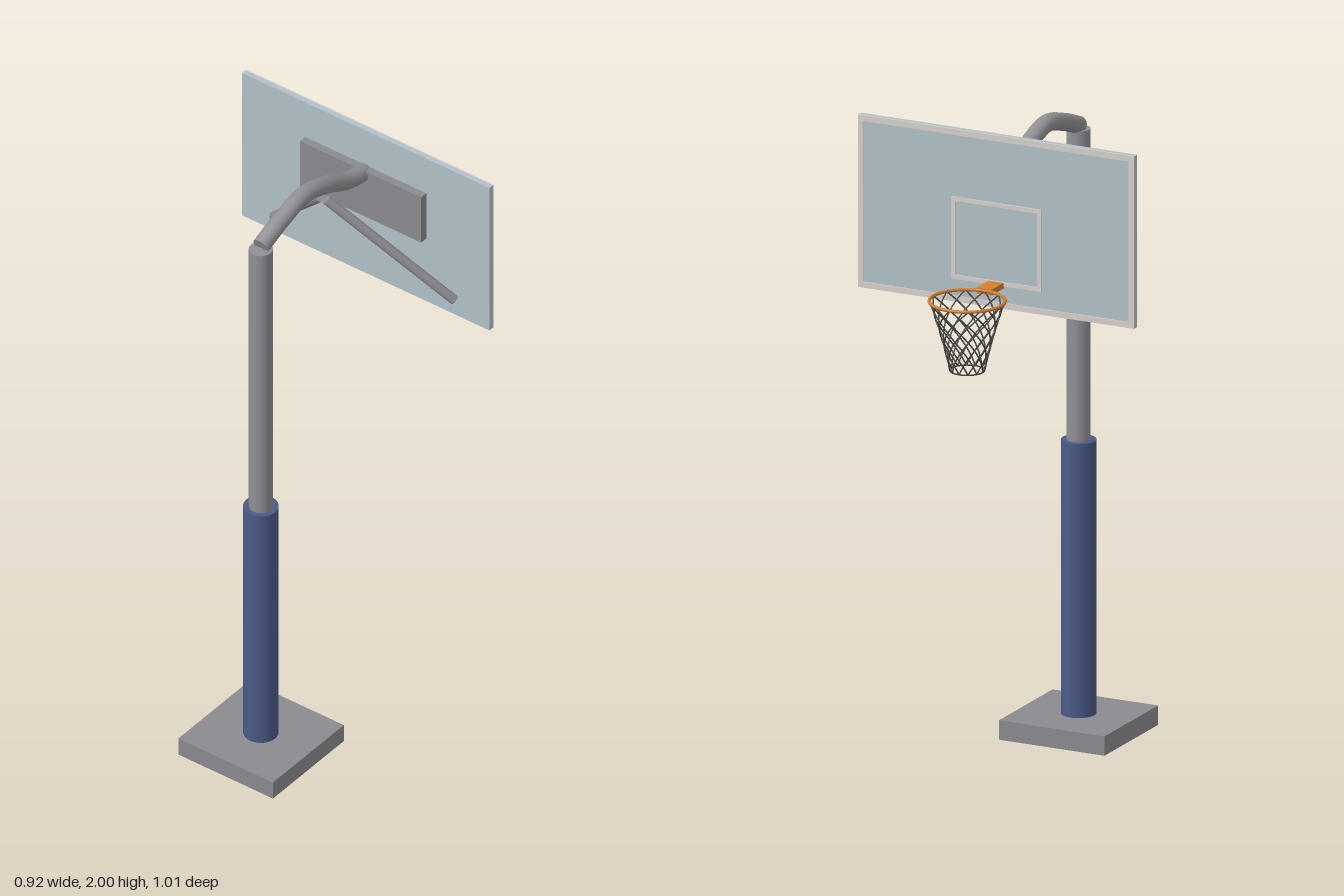
import * as THREE from 'three';

const mat = (name, color, side = THREE.FrontSide) => {
  const m = new THREE.MeshStandardMaterial({ color, side });
  m.name = name;
  return m;
};

export function createModel() {
  const steel = mat('grey steel', 0x909095);
  const concrete = mat('base grey', 0x8a8a8f);
  const blue = mat('blue padding', 0x4a5a88);
  const glass = mat('pale blue board', 0xb1c1c8);
  const trim = mat('off-white trim', 0xd5cfca);
  const orange = mat('orange rim', 0xd08030);
  const cord = mat('dark net cord', 0x4a4a48);

  const model = new THREE.Group();
  model.name = 'basketballHoop';
  const V = (x, y, z) => new THREE.Vector3(x, y, z);

  function add(name, geometry, material, parent = model) {
    const mesh = new THREE.Mesh(geometry, material);
    mesh.name = name;
    parent.add(mesh);
    return mesh;
  }
  // Box given by its minimum and maximum corners
  function box(name, a, b, material, parent) {
    const g = new THREE.BoxGeometry(b[0] - a[0], b[1] - a[1], b[2] - a[2]);
    g.translate((a[0] + b[0]) / 2, (a[1] + b[1]) / 2, (a[2] + b[2]) / 2);
    return add(name, g, material, parent);
  }
  // Round bar between two points
  function bar(name, a, b, radius, material, sides = 32) {
    const d = b.clone().sub(a);
    const mesh = add(name, new THREE.CylinderGeometry(radius, radius, d.length(), sides), material);
    mesh.position.copy(a).add(b).multiplyScalar(0.5);
    mesh.quaternion.setFromUnitVectors(V(0, 1, 0), d.normalize());
    return mesh;
  }
  // Rectangular frame on the playing face of the board
  function frame(name, halfWidth, y0, y1, t) {
    const g = new THREE.Group();
    g.name = name;
    model.add(g);
    const z0 = -0.204, z1 = -0.199;
    box('bottomStrip', [-halfWidth, y0, z0], [halfWidth, y0 + t, z1], trim, g);
    box('topStrip', [-halfWidth, y1 - t, z0], [halfWidth, y1, z1], trim, g);
    for (const s of [-1, 1]) {
      const x = s * (halfWidth - t / 2);
      box('sideStrip', [x - t / 2, y0 + t, z0], [x + t / 2, y1 - t, z1], trim, g);
    }
  }

  // Base, pole and padding
  box('base', [-0.176, 0, 0.157], [0.176, 0.06, 0.505], concrete);
  bar('pole', V(0, 0.05, 0.332), V(0, 1.875, 0.332), 0.036, steel);
  bar('polePad', V(0, 0.05, 0.332), V(0, 0.91, 0.332), 0.053, blue);

  // Curved arm with closed ends
  const armPath = new THREE.CatmullRomCurve3([
    V(0, 1.885, 0.332), V(0, 1.921, 0.235), V(0, 1.947, 0.125),
    V(0, 1.921, 0.02), V(0, 1.872, -0.085), V(0, 1.848, -0.178),
  ]);
  const armRadius = 0.027;
  add('arm', new THREE.TubeGeometry(armPath, 48, armRadius, 24), steel);
  for (const t of [0, 1]) {
    const cap = add('armCap', new THREE.CircleGeometry(armRadius, 24), steel);
    cap.position.copy(armPath.getPoint(t));
    cap.quaternion.setFromUnitVectors(V(0, 0, 1), armPath.getTangent(t).multiplyScalar(t ? 1 : -1));
  }

  // Diagonal struts
  for (const s of [-1, 1]) {
    bar('strut', V(s * 0.01, 1.875, 0.025), V(s * 0.335, 1.525, -0.176), 0.015, steel, 20);
  }

  // Backboard with its mounting plate and trim
  box('mountPlate', [-0.225, 1.7, -0.184], [0.225, 1.87, -0.158], concrete);
  box('backboard', [-0.46, 1.465, -0.2], [0.46, 2, -0.183], glass);
  frame('boardBorder', 0.46, 1.465, 2, 0.018);
  frame('targetSquare', 0.15, 1.535, 1.79, 0.013);

  // Rim and bracket
  const hoop = new THREE.Group();
  hoop.name = 'hoop';
  hoop.position.set(0, 1.538, -0.39);
  model.add(hoop);
  box('rimBracket', [-0.025, 1.528, -0.28], [0.025, 1.546, -0.2], orange);
  add('rim', new THREE.TorusGeometry(0.113, 0.005, 10, 64).rotateX(Math.PI / 2), orange, hoop);

  // Net of crossed spiral cords
  const cords = 12, twist = Math.PI * 2 / 3, depth = 0.215;
  const netRadius = t => 0.112 - 0.074 * t + 0.014 * t * t;
  for (const dir of [-1, 1]) {
    for (let i = 0; i < cords; i++) {
      const points = [];
      for (let k = 0; k <= 10; k++) {
        const t = k / 10;
        const a = (i / cords) * Math.PI * 2 + dir * twist * t;
        points.push(V(Math.cos(a) * netRadius(t), -depth * t, Math.sin(a) * netRadius(t)));
      }
      const path = new THREE.CatmullRomCurve3(points);
      add('netCord', new THREE.TubeGeometry(path, 24, 0.0023, 6), cord, hoop);
    }
  }
  const hem = new THREE.TorusGeometry(netRadius(1), 0.0023, 6, 36).rotateX(Math.PI / 2);
  add('netHem', hem, cord, hoop).position.y = -depth;

  return model;
}
